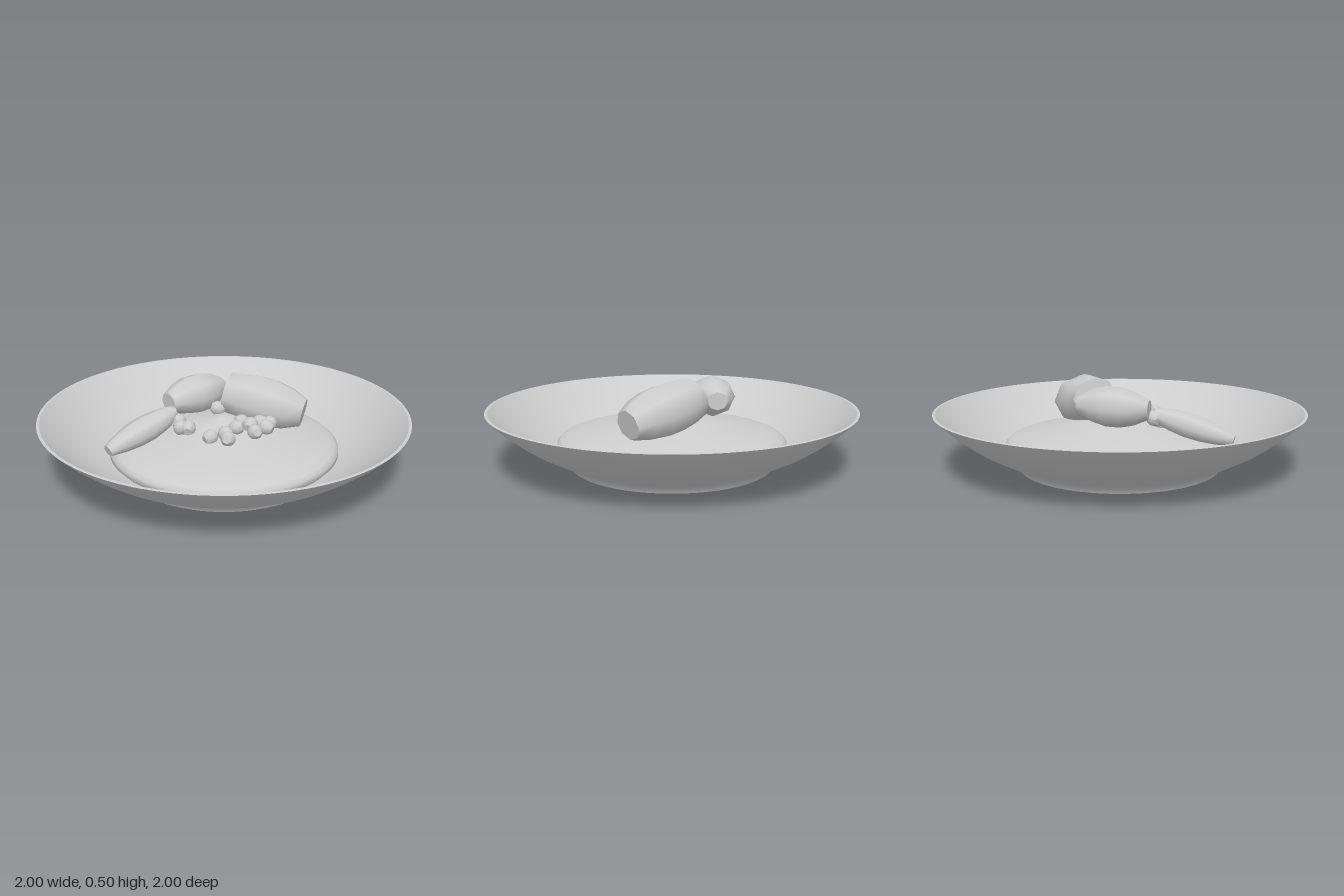
import * as THREE from 'three';
import { toCreasedNormals } from 'three/addons/utils/BufferGeometryUtils.js';

const grey = new THREE.MeshStandardMaterial({ color: 0xcccccc });
grey.name = 'plain grey';

const lathe = (pts, sides, crease) => toCreasedNormals(
  new THREE.LatheGeometry(pts.map(([r, y]) => new THREE.Vector2(r, y)), sides), crease);

function add(parent, name, geometry) {
  const mesh = new THREE.Mesh(geometry, grey);
  mesh.name = name;
  parent.add(mesh);
  return mesh;
}

// Flat-ended barrel from a to b; radii are spaced evenly, "tall" scales its height
function chunk(parent, name, a, b, radii, tall, sides = 8) {
  const start = new THREE.Vector3(...a);
  const dir = new THREE.Vector3(...b).sub(start);
  const length = dir.length();
  dir.normalize();
  const pts = radii.map((r, i) => [r, length * i / (radii.length - 1)]);
  const geo = lathe([[0, 0], ...pts, [0, length]], sides, 0.85);
  geo.scale(1, 1, tall);
  const side = new THREE.Vector3().crossVectors(dir, new THREE.Vector3(0, 1, 0)).normalize();
  const up = new THREE.Vector3().crossVectors(side, dir);
  geo.applyMatrix4(new THREE.Matrix4().makeBasis(side, dir, up).setPosition(start));
  return add(parent, name, geo);
}

export function createModel() {
  const model = new THREE.Group();
  model.name = 'bowlOfStew';

  // Thin-walled bowl: underside, foot, flared outside, rim, inside
  add(model, 'bowl', lathe([
    [0, 0], [0.55, 0], [0.565, 0.028], [0.6, 0.05], [0.7, 0.1], [0.78, 0.143],
    [0.86, 0.198], [0.94, 0.262], [0.985, 0.305], [1, 0.322], [0.985, 0.324],
    [0.93, 0.275], [0.85, 0.213], [0.77, 0.16], [0.7, 0.125], [0.6, 0.085], [0, 0.07],
  ], 72, 0.7));

  // Gently domed filling with a rolled edge
  add(model, 'filling', lathe([
    [0.6, 0.08], [0.627, 0.11], [0.625, 0.135], [0.605, 0.155], [0.57, 0.17],
    [0.45, 0.2], [0.3, 0.232], [0.15, 0.265], [0.04, 0.295], [0, 0.305],
  ], 64, 1.1));

  // Large pieces
  chunk(model, 'largeChunk', [0.025, 0.385, -0.145], [0.435, 0.3, -0.01],
    [0.125, 0.148, 0.158, 0.155, 0.135, 0.09], 0.88);
  chunk(model, 'mediumChunk', [-0.3, 0.36, -0.045], [-0.005, 0.375, -0.28],
    [0.06, 0.1, 0.122, 0.122, 0.1, 0.055], 0.88);
  chunk(model, 'longChunk', [-0.61, 0.212, 0.258], [-0.28, 0.325, 0.02],
    [0.038, 0.064, 0.08, 0.084, 0.074, 0.05], 0.8);

  // Small round pieces: x, y, z
  const peas = new THREE.Group();
  peas.name = 'peas';
  model.add(peas);
  [
    [-0.29, 0.31, -0.005], [-0.245, 0.29, 0.055], [-0.195, 0.275, 0.115], [-0.235, 0.27, 0.1],
    [-0.03, 0.315, -0.065], [-0.08, 0.265, 0.22], [0.01, 0.265, 0.25], [0, 0.275, 0.2],
    [0.06, 0.285, 0.145], [0.09, 0.295, 0.09], [0.135, 0.295, 0.13], [0.155, 0.275, 0.185],
    [0.22, 0.28, 0.135], [0.185, 0.29, 0.09], [0.24, 0.285, 0.09],
  ].forEach(([x, y, z], i) => {
    const turn = i * 2.4;
    const dx = 0.036 * Math.cos(turn), dz = 0.036 * Math.sin(turn);
    chunk(peas, 'pea', [x - dx, y - 0.01, z - dz], [x + dx, y + 0.01, z + dz],
      [0.022, 0.037, 0.041, 0.037, 0.022], 1, 10);
  });

  return model;
}
